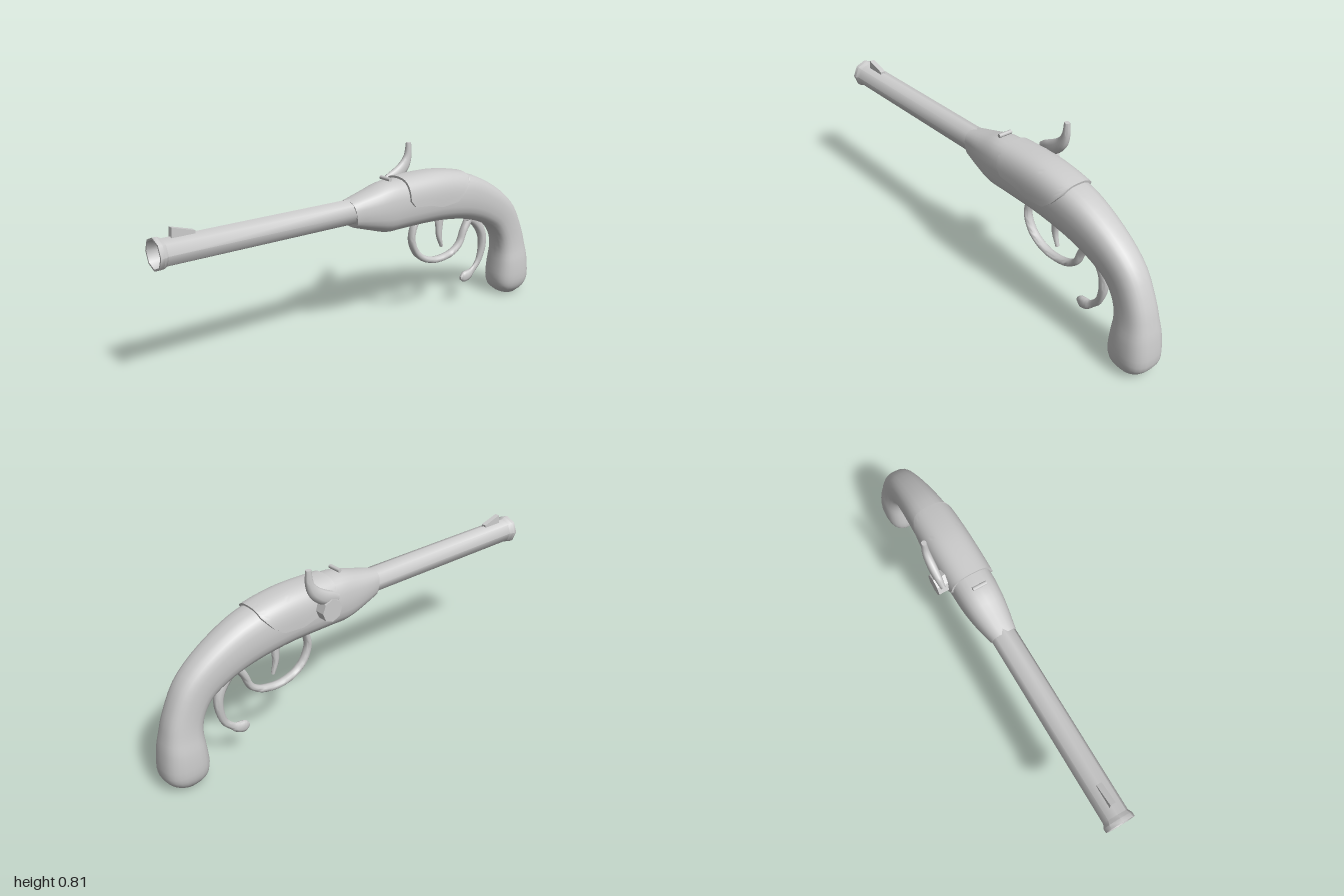
import * as THREE from 'three';
import { toCreasedNormals } from 'three/addons/utils/BufferGeometryUtils.js';

const CX = 0.02; // centre plane of the body
const V = (x, y, z) => new THREE.Vector3(x, y, z);

// Smooth sections from rows of [topZ, topY, bottomZ, bottomY, halfWidth].
// Returns point(t, angle, offset); angle 0 is the top and grows towards +x.
function sections(rows, x0, power) {
  const top = new THREE.CatmullRomCurve3(rows.map(r => V(r[4], r[1], r[0])), false, 'catmullrom', 0.5);
  const bottom = new THREE.CatmullRomCurve3(rows.map(r => V(0, r[3], r[2])), false, 'catmullrom', 0.5);
  const bend = v => Math.sign(v) * Math.abs(v) ** power;
  return (t, a, off = 0) => {
    const p = top.getPoint(t), q = bottom.getPoint(t), w = p.x;
    p.x = q.x = 0;
    const mid = p.clone().add(q).multiplyScalar(0.5), half = p.sub(mid), h = half.length();
    const out = mid.addScaledVector(half, bend(Math.cos(a)) * (h + off) / h);
    out.x = x0 + bend(Math.sin(a)) * (w + off);
    return out;
  };
}

function build(points, index, crease) {
  const g = new THREE.BufferGeometry().setFromPoints(points);
  g.setIndex(index);
  g.computeVertexNormals();
  return crease ? toCreasedNormals(g, crease) : g;
}

// Closed, capped skin over the sections
function loft(at, steps, sides) {
  const pts = [], idx = [];
  for (let i = 0; i <= steps; i++)
    for (let j = 0; j < sides; j++) pts.push(at(i / steps, j / sides * Math.PI * 2));
  for (let i = 0; i < steps; i++)
    for (let j = 0; j < sides; j++) {
      const k = (j + 1) % sides, a = i * sides, b = a + sides;
      idx.push(a + j, a + k, b + j, a + k, b + k, b + j);
    }
  for (const [ring, flip] of [[0, false], [steps * sides, true]]) {
    const c = V(0, 0, 0);
    for (let j = 0; j < sides; j++) c.addScaledVector(pts[ring + j], 1 / sides);
    const n = pts.push(c) - 1;
    for (let j = 0; j < sides; j++) {
      const a = ring + j, b = ring + (j + 1) % sides;
      idx.push(n, flip ? a : b, flip ? b : a);
    }
  }
  return build(pts, idx, 0.9);
}

// Tapered rod in the side plane from [z, y, halfThickness, halfWidth]
function rod(path, x0 = CX, power = 0.85) {
  const rows = path.map(([z, y, r, w], i) => {
    const a = path[Math.max(i - 1, 0)], b = path[Math.min(i + 1, path.length - 1)];
    const l = Math.hypot(b[0] - a[0], b[1] - a[1]);
    const nz = (b[1] - a[1]) / l * r, ny = -(b[0] - a[0]) / l * r;
    return [z + nz, y + ny, z - nz, y - ny, w];
  });
  return loft(sections(rows, x0, power), (path.length - 1) * 4, 10);
}

// Stock: fore end, lock area, curved grip and rounded butt
const STOCK = [
  [0.11, 0.64, 0.09, 0.52, 0.058], [0, 0.668, 0, 0.492, 0.078],
  [-0.08, 0.69, -0.08, 0.47, 0.088], [-0.165, 0.695, -0.165, 0.47, 0.092],
  [-0.37, 0.695, -0.36, 0.468, 0.093], [-0.54, 0.668, -0.5, 0.453, 0.09],
  [-0.66, 0.625, -0.6, 0.43, 0.083], [-0.795, 0.545, -0.68, 0.4, 0.075],
  [-0.89, 0.455, -0.75, 0.36, 0.07], [-0.95, 0.335, -0.793, 0.3, 0.07],
  [-0.975, 0.25, -0.808, 0.235, 0.076], [-0.99, 0.18, -0.803, 0.165, 0.087],
  [-0.998, 0.08, -0.797, 0.09, 0.09], [-0.975, 0.033, -0.808, 0.04, 0.078],
  [-0.93, 0.002, -0.845, 0.006, 0.05],
];

// Cover plate wrapped over the stock, with a scalloped lower edge
function coverPlate(at) {
  const edge = [[0, 0.61], [0.08, 0.58], [0.3, 0.573], [0.45, 0.555], [0.75, 0.562], [0.9, 0.6], [1, 0.645]];
  const nu = 28, nv = 28, last = STOCK.length - 1, pts = [], idx = [];
  for (let i = 0; i <= nu; i++) {
    const u = THREE.MathUtils.clamp((i - 1) / (nu - 2), 0, 1);
    const k = Math.max(1, edge.findIndex(e => e[0] >= u));
    const [u0, y0] = edge[k - 1], [u1, y1] = edge[k];
    const limit = y0 + (y1 - y0) * (u - u0) / (u1 - u0);
    const t = (3 + 2 * u) / last;
    // angle at which the section drops to the lower edge
    let lo = 0, hi = Math.PI;
    for (let n = 0; n < 24; n++) {
      const m = (lo + hi) / 2;
      if (at(t, m).y > limit) lo = m; else hi = m;
    }
    for (let j = 0; j <= nv; j++) {
      const v = THREE.MathUtils.clamp((j - 1) / (nv - 2), 0, 1) * 2 - 1;
      const rim = i === 0 || i === nu || j === 0 || j === nv;
      pts.push(at(t, v * lo, rim ? -0.004 : 0.009));
    }
  }
  for (let i = 0; i < nu; i++)
    for (let j = 0; j < nv; j++) {
      const a = i * (nv + 1) + j, b = a + nv + 1;
      idx.push(a, a + 1, b, a + 1, b + 1, b);
    }
  return build(pts, idx, 0.7);
}

export function createModel() {
  const group = new THREE.Group();
  const mat = new THREE.MeshStandardMaterial({ color: 0xcccccc });
  const add = (name, geo, x = 0, y = 0, z = 0) => {
    const m = new THREE.Mesh(geo, mat);
    m.name = name;
    m.position.set(x, y, z);
    group.add(m);
    return m;
  };

  const stock = sections(STOCK, CX, 0.75);
  add('stock', loft(stock, (STOCK.length - 1) * 3, 24));
  add('coverPlate', coverPlate(stock));

  // Eight-sided barrel with flared muzzle and open bore
  const profile = [[0, 0], [0.057, 0], [0.057, 0.965], [0.066, 0.982], [0.066, 1], [0.058, 1], [0.05, 0.95], [0.046, 0.6], [0, 0.6]];
  const barrel = new THREE.LatheGeometry(profile.map(p => new THREE.Vector2(...p)), 8);
  barrel.rotateX(Math.PI / 2);
  add('barrel', toCreasedNormals(barrel, 0.85), CX, 0.588, 0);

  // Wedge front sight
  const wedge = new THREE.Shape([[-0.93, 0.63], [-0.83, 0.63], [-0.83, 0.652], [-0.925, 0.68]].map(p => new THREE.Vector2(...p)));
  const sight = new THREE.ExtrudeGeometry(wedge, { depth: 0.024, bevelEnabled: false });
  sight.rotateY(Math.PI / 2);
  add('frontSight', sight, CX - 0.012);

  // Small rear sight bar
  const bar = new THREE.CylinderGeometry(0.009, 0.009, 0.064, 8);
  bar.rotateZ(Math.PI / 2);
  add('rearSight', bar, CX, 0.704, -0.1);

  add('triggerGuard', rod([
    [-0.285, 0.49, 0.015, 0.02], [-0.262, 0.44, 0.015, 0.02], [-0.257, 0.385, 0.015, 0.02],
    [-0.289, 0.32, 0.015, 0.02], [-0.35, 0.279, 0.015, 0.02], [-0.42, 0.266, 0.015, 0.02],
    [-0.5, 0.278, 0.015, 0.02], [-0.556, 0.315, 0.015, 0.02], [-0.583, 0.375, 0.016, 0.02],
    [-0.625, 0.445, 0.02, 0.02],
  ]));

  // Finger spur with a bulb at its tip
  add('fingerSpur', rod([
    [-0.6, 0.44, 0.022, 0.02], [-0.66, 0.405, 0.024, 0.02], [-0.705, 0.34, 0.022, 0.02],
    [-0.712, 0.27, 0.019, 0.018], [-0.692, 0.2, 0.016, 0.011], [-0.655, 0.16, 0.016, 0.009],
    [-0.625, 0.142, 0.025, 0.015], [-0.595, 0.135, 0.026, 0.014], [-0.575, 0.135, 0.01, 0.006],
  ]));

  add('trigger', rod([
    [-0.42, 0.49, 0.034, 0.012], [-0.424, 0.44, 0.022, 0.012],
    [-0.425, 0.38, 0.014, 0.012], [-0.442, 0.325, 0.007, 0.009],
  ]));

  // Side drum carrying the hammer
  const drum = new THREE.CylinderGeometry(0.05, 0.05, 0.08, 8);
  drum.rotateZ(Math.PI / 2);
  add('hammerDrum', toCreasedNormals(drum, 0.6), -0.087, 0.608, -0.235);

  // Hammer: upright thumb spur curving forward into the nose
  add('hammer', rod([
    [-0.336, 0.812, 0.012, 0.011], [-0.333, 0.755, 0.018, 0.015], [-0.312, 0.71, 0.027, 0.018],
    [-0.27, 0.675, 0.032, 0.019], [-0.225, 0.655, 0.03, 0.016], [-0.19, 0.64, 0.022, 0.01],
  ], -0.104));

  return group;
}
